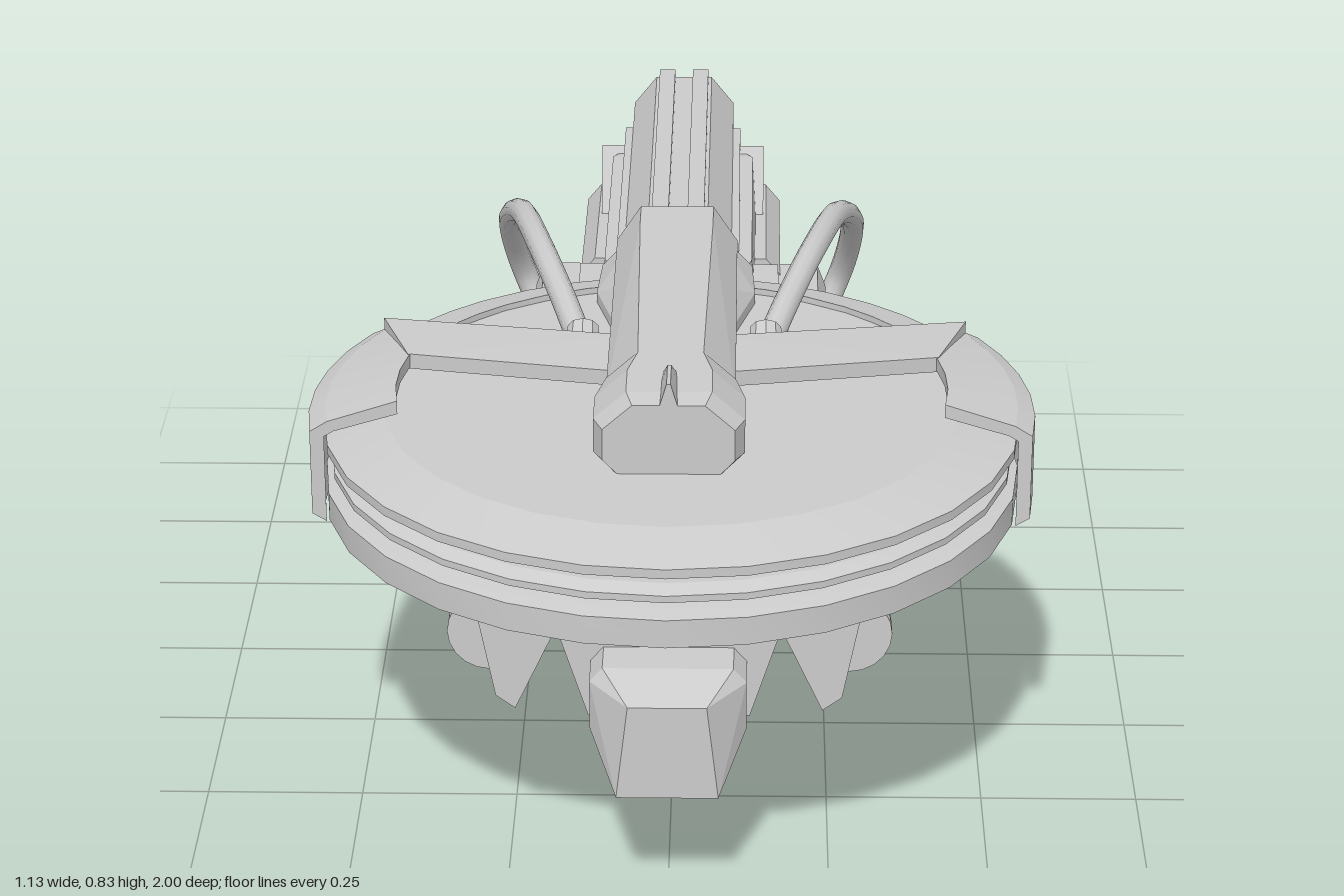
import * as THREE from 'three';
import { toCreasedNormals } from 'three/addons/utils/BufferGeometryUtils.js';
import { ConvexGeometry } from 'three/addons/geometries/ConvexGeometry.js';

const flat = new THREE.MeshStandardMaterial({ color: 0xcccccc, flatShading: true, side: THREE.DoubleSide });
const smooth = new THREE.MeshStandardMaterial({ color: 0xcccccc, side: THREE.DoubleSide });
const DISC_Z = 0.452;

export function createModel() {
  const model = new THREE.Group();
  model.name = 'discLauncher';

  const add = (name, geometry, material = flat) => {
    const mesh = new THREE.Mesh(geometry, material);
    mesh.name = name;
    model.add(mesh);
    return mesh;
  };
  // Convex block from half cross-sections [z, [[x, y], ...]], mirrored in x
  const block = (name, ...sections) => {
    const pts = [];
    for (const [z, half] of sections)
      for (const [x, y] of half) pts.push(new THREE.Vector3(x, y, z), new THREE.Vector3(-x, y, z));
    return add(name, new ConvexGeometry(pts));
  };
  const box = (name, x0, x1, y0, y1, z0, z1) => {
    const g = new THREE.BoxGeometry(Math.abs(x1 - x0), y1 - y0, z1 - z0);
    g.translate((x0 + x1) / 2, (y0 + y1) / 2, (z0 + z1) / 2);
    return add(name, g);
  };
  const shapeOf = (pts) => new THREE.Shape(pts.map(([x, y]) => new THREE.Vector2(x, y)));
  // Side profile [z, y] extruded across x
  const sideProfile = (name, pts, x0, x1, hole) => {
    const shape = shapeOf(pts);
    if (hole) shape.holes.push(shapeOf(hole));
    const g = new THREE.ExtrudeGeometry(shape, { depth: Math.abs(x1 - x0), bevelEnabled: false });
    g.rotateY(-Math.PI / 2);
    g.translate(Math.max(x0, x1), 0, 0);
    return add(name, g);
  };
  // Profile [radius, y] turned about the disc axis, with end caps when partial
  const turned = (name, pts, from = 0, to = 360, segments = 28) => {
    const a = THREE.MathUtils.degToRad(from), b = THREE.MathUtils.degToRad(to);
    const v = pts.map(([r, y]) => new THREE.Vector2(r, y));
    const lathe = new THREE.LatheGeometry(v, segments, a, b - a);
    add(name, toCreasedNormals(lathe, 0.23), smooth).position.z = DISC_Z;
    if (to - from < 360)
      for (const phi of [a, b]) {
        const cap = new THREE.ShapeGeometry(shapeOf(pts));
        cap.rotateY(phi - Math.PI / 2);
        add(name + 'End', cap).position.z = DISC_Z;
      }
  };

  // Stacked disc
  turned('lowerPlate', [[0, 0.505], [0.47, 0.505], [0.543, 0.53], [0.543, 0.575], [0.5, 0.585], [0, 0.585]]);
  turned('middleDisc', [[0, 0.592], [0.51, 0.592], [0.533, 0.599], [0.533, 0.61], [0.51, 0.62], [0, 0.62]]);
  turned('spindle', [[0.13, 0.58], [0.13, 0.64]]);
  turned('upperPlate', [[0, 0.635], [0.5, 0.635], [0.543, 0.643], [0.543, 0.658], [0.45, 0.682], [0, 0.682]]);

  // Guards that wrap the disc
  const guard = [[0.545, 0.515], [0.567, 0.53], [0.567, 0.67], [0.54, 0.685], [0.43, 0.712],
    [0.43, 0.69], [0.53, 0.668], [0.545, 0.66], [0.545, 0.515]];
  const guardTail = [[0.543, 0.52], [0.562, 0.535], [0.557, 0.64], [0.52, 0.675], [0.45, 0.692],
    [0.45, 0.678], [0.543, 0.65], [0.543, 0.52]];
  turned('leftGuard', guard, 80, 120, 5);
  turned('rightGuard', guard, 240, 280, 5);
  turned('leftGuardTail', guardTail, 120, 142, 3);
  turned('rightGuardTail', guardTail, 218, 240, 3);
  turned('rearLowerGuard', [[0.53, 0.515], [0.557, 0.53], [0.557, 0.59], [0.53, 0.6], [0.53, 0.515]], 142, 218, 8);
  turned('rearUpperGuard', [[0.53, 0.638], [0.555, 0.64], [0.52, 0.675], [0.45, 0.692], [0.45, 0.678], [0.53, 0.638]], 142, 218, 8);

  // Sloping arms between spine and guards
  for (const s of [-1, 1]) {
    const pts = [];
    for (const [x, y, z] of [[0.06, 0.738, 0.325], [0.06, 0.738, 0.47], [0.42, 0.712, 0.345], [0.47, 0.705, 0.185]])
      pts.push(new THREE.Vector3(s * x, y, z), new THREE.Vector3(s * x, y - 0.025, z));
    add(s > 0 ? 'leftArm' : 'rightArm', new ConvexGeometry(pts));
  }

  // Top spine
  block('spineNose', [0.72, [[0.055, 0.795], [0.1, 0.755], [0.1, 0.705], [0.075, 0.678]]],
    [0.68, [[0.065, 0.8], [0.115, 0.755], [0.115, 0.7], [0.08, 0.675]]],
    [0.6, [[0.065, 0.8], [0.115, 0.755], [0.115, 0.7], [0.08, 0.675]]],
    [0.53, [[0.05, 0.8], [0.1, 0.755], [0.1, 0.7], [0.08, 0.675]]]);
  block('spine', [0.56, [[0.05, 0.8], [0.1, 0.74], [0.1, 0.675]]], [0.0, [[0.06, 0.8], [0.1, 0.74], [0.1, 0.675]]],
    [-0.07, [[0.06, 0.8], [0.1, 0.74], [0.1, 0.65]]], [-0.13, [[0.05, 0.75], [0.08, 0.72], [0.08, 0.62]]]);
  block('spineCollar', [0.18, [[0.06, 0.76], [0.1, 0.7], [0.1, 0.68]]], [0.06, [[0.06, 0.76], [0.13, 0.7], [0.13, 0.68]]],
    [-0.08, [[0.06, 0.76], [0.125, 0.69], [0.125, 0.64]]]);
  block('sightFin', [0.72, [[0.015, 0.79], [0.003, 0.83]]], [0.64, [[0.015, 0.79], [0.003, 0.826]]], [0.59, [[0.012, 0.79]]]);

  // Rear barrel with rails
  const barrel = [[0.05, 0.75], [0.09, 0.7], [0.09, 0.55], [0.06, 0.5]];
  block('rearBarrel', [-0.08, barrel], [-0.83, barrel], [-0.9, [[0.05, 0.62], [0.085, 0.6], [0.06, 0.58]]]);
  for (const s of [-1, 1]) {
    box('topRail', s * 0.03 - 0.014, s * 0.03 + 0.014, 0.74, 0.768, -0.82, -0.1);
    box('sideRail', s * 0.085 - 0.018, s * 0.085 + 0.018, 0.66, 0.7, -0.7, -0.1);
  }

  // Receiver
  block('upperReceiver', [-0.05, [[0.09, 0.66], [0.1, 0.5]]], [-0.18, [[0.125, 0.66], [0.13, 0.5]]],
    [-0.66, [[0.125, 0.66], [0.135, 0.5]]], [-0.74, [[0.09, 0.65], [0.1, 0.5]]]);
  block('lowerReceiver', [-0.4, [[0.15, 0.57], [0.175, 0.54], [0.16, 0.42]]],
    [-0.78, [[0.15, 0.56], [0.175, 0.53], [0.16, 0.42]]]);
  // Wedge-shaped cheeks that narrow towards the bottom
  block('cheeks', [-0.13, [[0.24, 0.54], [0.255, 0.5], [0.125, 0.275]]],
    [-0.29, [[0.125, 0.275]]], [-0.45, [[0.24, 0.54], [0.255, 0.5], [0.2, 0.48]]]);
  box('frontLink', -0.11, 0.11, 0.3, 0.5, -0.15, 0.05);
  box('underStrip', -0.08, 0.08, 0.27, 0.29, -0.43, -0.1);

  // Lower barrel and the housing above it
  const low = [[0.1, 0.388], [0.12, 0.365], [0.12, 0.285], [0.082, 0.205]];
  block('lowerBarrel', [0.865, [[0.06, 0.36], [0.06, 0.29], [0.078, 0.205]]], [0.79, low], [-0.12, low]);
  const housing = [[0.2, 0.505], [0.165, 0.42], [0.125, 0.27]];
  block('housing', [0.72, housing], [-0.12, housing]);

  for (const s of [-1, 1]) {
    const side = s > 0 ? 'left' : 'right';
    // Gas tube with end collars and bracket
    const tube = [[0, -0.02], [0.066, -0.02], [0.066, 0.025], [0.057, 0.03], [0.057, 0.61], [0.066, 0.615], [0.066, 0.655], [0, 0.655]];
    const g = new THREE.LatheGeometry(tube.map(([r, y]) => new THREE.Vector2(r, y)), 20);
    g.rotateX(Math.PI / 2);
    add(side + 'Tube', toCreasedNormals(g, 0.6), smooth).position.set(s * 0.279, 0.38, 0);
    box(side + 'TubeBracket', s * 0.14, s * 0.26, 0.45, 0.5, -0.08, 0.68);
    // Leaf-shaped front plate
    const leaf = new THREE.ExtrudeGeometry(
      shapeOf([[0.155, 0.46], [0.21, 0.508], [0.3, 0.475], [0.267, 0.305], [0.237, 0.283]].map(([x, y]) => [s * x, y])),
      { depth: 0.05, bevelEnabled: false });
    add(side + 'FrontPlate', leaf).position.z = 0.675;
    // Small side fittings
    sideProfile(side + 'CheekCap', [[-0.12, 0.61], [-0.28, 0.61], [-0.28, 0.53], [-0.12, 0.53]], s * 0.1, s * 0.17);
    sideProfile(side + 'ReceiverLug', [[-0.62, 0.56], [-0.69, 0.67], [-0.72, 0.65], [-0.72, 0.55]], s * 0.08, s * 0.145);
    box(side + 'RearLink', s * 0.18, s * 0.24, 0.46, 0.5, -0.16, 0.02);
    // Hose looping from spine to receiver
    const path = new THREE.CatmullRomCurve3([[0.14, 0.67, 0.26], [0.185, 0.71, 0.1], [0.228, 0.733, -0.06], [0.27, 0.705, -0.28],
      [0.302, 0.59, -0.5], [0.28, 0.45, -0.6], [0.23, 0.365, -0.55], [0.16, 0.41, -0.43]].map(([x, y, z]) => new THREE.Vector3(s * x, y, z)));
    add(side + 'Hose', new THREE.TubeGeometry(path, 48, 0.021, 10), smooth);
    const socket = add(side + 'HoseSocket', new THREE.CylinderGeometry(0.026, 0.03, 0.06, 10));
    socket.position.set(s * 0.147, 0.685, 0.235);
    socket.rotation.x = -1.1;
  }

  // Grip loop and the stub under it
  sideProfile('grip', [[-0.4, 0.42], [-0.6, 0.46], [-0.76, 0.47], [-0.88, 0.47], [-0.93, 0.41], [-1, 0.035], [-0.91, 0.003],
    [-0.72, 0.04], [-0.56, 0.2], [-0.44, 0.36]], -0.083, 0.083,
  [[-0.49, 0.4], [-0.78, 0.415], [-0.865, 0.11], [-0.69, 0.135], [-0.62, 0.19]]);
  const stub = new THREE.CylinderGeometry(0.063, 0.063, 0.125, 20);
  add('stub', toCreasedNormals(stub, 0.6), smooth).position.set(0, 0.0975, -0.607);
  box('stubMount', -0.05, 0.05, 0.15, 0.195, -0.675, -0.6);

  return model;
}
